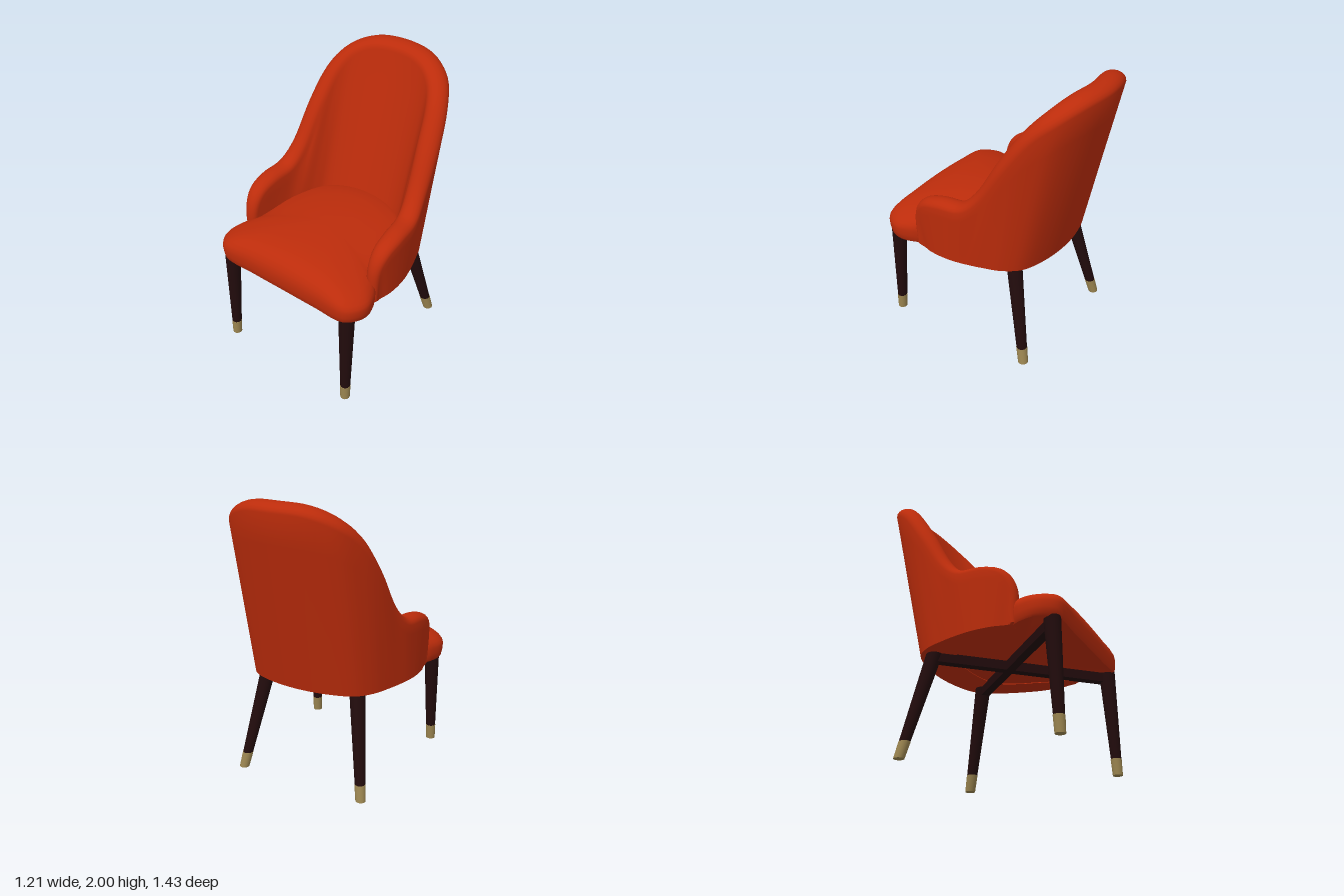
import * as THREE from 'three';
import { toCreasedNormals } from 'three/addons/utils/BufferGeometryUtils.js';

const V = (x, y, z) => new THREE.Vector3(x, y, z);

// Skin a list of closed rings that all have the same point count
function loft(rings, crease) {
  const n = rings[0].length, pos = [], idx = [];
  rings.forEach(r => r.forEach(p => pos.push(p.x, p.y, p.z)));
  for (let i = 0; i < rings.length - 1; i++) {
    for (let j = 0; j < n; j++) {
      const a = i * n + j, c = i * n + (j + 1) % n;
      idx.push(a, c, a + n, a + n, c, c + n);
    }
  }
  const g = new THREE.BufferGeometry();
  g.setAttribute('position', new THREE.Float32BufferAttribute(pos, 3));
  g.setIndex(idx);
  return toCreasedNormals(g, crease);
}

// Collapse a ring to its centre, to close an end
function collapsed(ring) {
  const c = V(0, 0, 0);
  ring.forEach(p => c.addScaledVector(p, 1 / ring.length));
  return ring.map(() => c);
}

const BASE = 0.71;

// Half shell from the back centre to the arm front:
// outer base x z | outer rim x y z | inner rim x z | inner base x z | rim roundness
const STATIONS = [
  [0, -.42, 0, 1.942, -.71, 0, -.54, 0, -.18, .058],
  [.2, -.4, .21, 1.928, -.676, .18, -.51, .19, -.16, .058],
  [.375, -.34, .38, 1.855, -.582, .295, -.45, .31, -.1, .06],
  [.47, -.23, .477, 1.73, -.445, .355, -.365, .36, -.02, .06],
  [.52, -.1, .528, 1.515, -.295, .39, -.235, .39, .06, .06],
  [.55, 0, .555, 1.26, -.125, .42, -.1, .405, .12, .055],
  [.572, .1, .585, 1.13, .02, .445, .03, .42, .17, .05],
  [.58, .2, .6, 1.105, .2, .46, .2, .44, .23, .05],
  [.575, .29, .592, 1.06, .33, .468, .325, .455, .3, .045],
  [.56, .35, .572, .94, .395, .475, .39, .47, .35, .04],
  [.555, .39, .56, .72, .4, .48, .4, .48, .39, .03],
];

function shellGeometry() {
  const mirrored = STATIONS.slice(1).reverse().map(r => r.map((v, k) => ([0, 2, 5, 7].includes(k) ? -v : v)));
  const rows = [...mirrored, ...STATIONS], last = rows.length - 1;
  const smooth = (a, b, c, d, t) =>
    b + 0.5 * t * (c - a + t * (2 * a - 5 * b + 4 * c - d + t * (3 * (b - c) + d - a)));
  const at = u => {
    const i = Math.min(Math.floor(u), last - 1), t = u - i;
    const row = k => rows[THREE.MathUtils.clamp(k, 0, last)];
    return rows[0].map((_, k) => smooth(row(i - 1)[k], row(i)[k], row(i + 1)[k], row(i + 2)[k], t));
  };
  const rimMid = r => V((r[2] + r[5]) / 2, r[3], (r[4] + r[6]) / 2);
  const rings = [], steps = last * 5;
  for (let s = 0; s <= steps; s++) {
    const u = s / 5, r = at(u);
    const B = V(r[0], BASE, r[1]), O = V(r[2], r[3], r[4]), I = V(r[5], r[3], r[6]), J = V(r[7], BASE, r[8]);
    const along = rimMid(at(Math.min(u + .1, last))).sub(rimMid(at(Math.max(u - .1, 0))));
    const out = I.clone().sub(O).cross(along).normalize();
    const mid = rimMid(r), half = O.clone().sub(mid), ring = [];
    for (let k = 0; k < 6; k++) ring.push(B.clone().lerp(O, k / 6));
    for (let k = 0; k <= 10; k++) {
      const a = Math.PI * k / 10;
      ring.push(mid.clone().addScaledVector(half, Math.cos(a)).addScaledVector(out, r[9] * Math.sin(a)));
    }
    for (let k = 1; k <= 6; k++) ring.push(I.clone().lerp(J, k / 6));
    rings.push(ring);
  }
  return loft([collapsed(rings[0]), ...rings, collapsed(rings[steps])], 0.9);
}

// Domed cushion: one plan outline, scaled and raised in layers, lower towards the sides
function cushionGeometry() {
  const half = [[.28, .71], [.51, .705], [.58, .64], [.605, .56], [.58, .46], [.54, .38],
    [.535, .1], [.48, -.1], [.34, -.27]];
  const plan = [[0, .71], ...half, [0, -.37], ...half.slice().reverse().map(([x, z]) => [-x, z])];
  const outline = new THREE.CatmullRomCurve3(plan.map(([x, z]) => V(x, 0, z)), true, 'centripetal').getPoints(100).slice(0, -1);
  const layers = [[0, .715], [.965, .715], [.985, .73], [.996, .77], [1, .81], [.993, .85], [.97, .885],
    [.93, .917], [.87, .943], [.78, .962], [.6, .978], [.3, .987], [0, .99]];
  const cz = 0.2;
  return loft(layers.map(([s, y]) => outline.map(p => {
    const x = p.x * s, drop = 0.24 * x * x * Math.max(0, (y - .81) / .18);
    return V(x, y - drop, cz + (p.z - cz) * s);
  })), 0.9);
}

export function createModel() {
  const upholstery = new THREE.MeshStandardMaterial({ color: 0xbc2c0b });
  upholstery.name = 'orange red upholstery';
  const wood = new THREE.MeshStandardMaterial({ color: 0x210b0c });
  wood.name = 'dark wood';
  const brass = new THREE.MeshStandardMaterial({ color: 0x9a8450 });
  brass.name = 'aged brass';

  const chair = new THREE.Group();
  chair.name = 'chair';
  const add = (name, geometry, material) => {
    const mesh = new THREE.Mesh(geometry, material);
    mesh.name = name;
    chair.add(mesh);
    return mesh;
  };

  add('backAndArms', shellGeometry(), upholstery);
  add('seatCushion', cushionGeometry(), upholstery);

  // Tapered round post between two heights, ends kept level
  const post = (name, bottom, top, r0, r1, material) => {
    const h = top.y - bottom.y;
    const g = new THREE.CylinderGeometry(r1, r0, h, 20);
    const shear = new THREE.Matrix4().set(
      1, (top.x - bottom.x) / h, 0, (top.x + bottom.x) / 2,
      0, 1, 0, (top.y + bottom.y) / 2,
      0, (top.z - bottom.z) / h, 1, (top.z + bottom.z) / 2,
      0, 0, 0, 1);
    add(name, g.applyMatrix4(shear), material);
  };
  const leg = (name, foot, top, r0, r1) => {
    const t = 0.11 / top.y, joint = foot.clone().lerp(top, t), rj = r0 + (r1 - r0) * t;
    post(name + 'Ferrule', foot, joint, r0 + .002, rj + .002, brass);
    post(name, joint, top, rj, r1, wood);
  };

  for (const [side, s] of [['left', 1], ['right', -1]]) {
    leg(side + 'FrontLeg', V(s * .505, 0, .672), V(s * .497, .73, .643), .031, .054);
    leg(side + 'BackLeg', V(s * .472, 0, -.408), V(s * .35, .73, -.245), .033, .054);

    // Diagonal rail from a front leg to the opposite back leg
    const a = V(s * .5, .688, .64), b = V(-s * .355, .688, -.24);
    const rail = add(side + 'DiagonalRail', new THREE.BoxGeometry(.06, .074, a.distanceTo(b)), wood);
    rail.position.copy(a).lerp(b, 0.5);
    rail.rotation.y = Math.atan2(a.x - b.x, a.z - b.z);
  }
  return chair;
}
